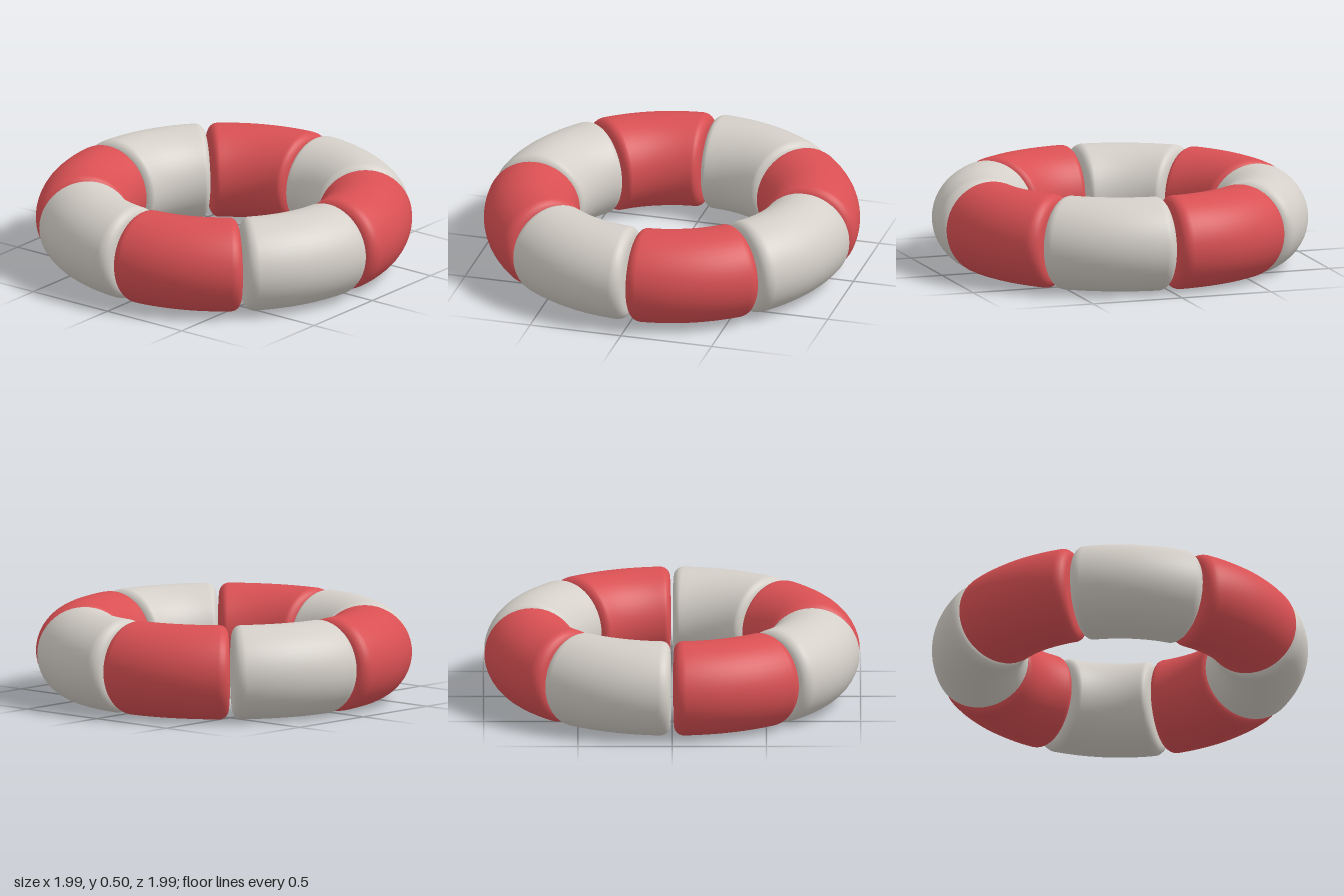
import * as THREE from 'three';
import { mergeVertices } from 'three/addons/utils/BufferGeometryUtils.js';

const COUNT = 8;
const RING = 0.748;  // radius of the tube's centre line
const TUBE = 0.25;
const RIM = 0.055;   // rounding of each segment's ends
const SWEEP = (Math.PI * 2) / COUNT;
const GAP = 0.008;   // half the angle between neighbours

// One cushion segment: a rounded lathe capsule bent round the ring
function segmentGeometry() {
  const half = SWEEP / 2 - GAP;
  const bevel = RIM / 0.85; // as an angle
  const lower = [[0, -half], [0.1, -half], [TUBE - RIM - 0.02, -half + 0.002]];
  for (let i = 0; i <= 6; i++) {
    const t = (i / 6) * Math.PI / 2;
    lower.push([TUBE - RIM + RIM * Math.sin(t), -half + 0.004 + bevel * (1 - Math.cos(t))]);
  }
  const start = lower[lower.length - 1][1];
  const middle = [];
  for (let i = 1; i < 12; i++) middle.push([TUBE, start * (1 - i / 6)]);
  const upper = lower.map(([r, a]) => [r, -a]).reverse();
  const profile = [...lower, ...middle, ...upper].map(([r, a]) => new THREE.Vector2(r, a));

  let geo = new THREE.LatheGeometry(profile, 48);
  const p = geo.attributes.position;
  for (let i = 0; i < p.count; i++) {
    const rho = RING + p.getX(i);
    const angle = p.getY(i) + SWEEP / 2;
    p.setXYZ(i, rho * Math.sin(angle), p.getZ(i), rho * Math.cos(angle));
  }
  // Weld the seam so the shading stays smooth
  geo.deleteAttribute('normal');
  geo.deleteAttribute('uv');
  geo = mergeVertices(geo, 1e-5);
  geo.computeVertexNormals();
  return geo;
}

export function createModel() {
  const model = new THREE.Group();
  model.name = 'segmentedRing';

  const red = new THREE.MeshStandardMaterial({ color: 0xd95053 });
  red.name = 'coralRed';
  const white = new THREE.MeshStandardMaterial({ color: 0xd4cfc8 });
  white.name = 'warmWhite';

  // Alternating segments, starting at the front centre
  const geo = segmentGeometry();
  for (let i = 0; i < COUNT; i++) {
    const segment = new THREE.Mesh(geo, i % 2 ? white : red);
    segment.name = i % 2 ? 'whiteSegment' : 'redSegment';
    segment.rotation.y = i * SWEEP;
    segment.position.y = TUBE + 0.007;
    model.add(segment);
  }
  return model;
}
